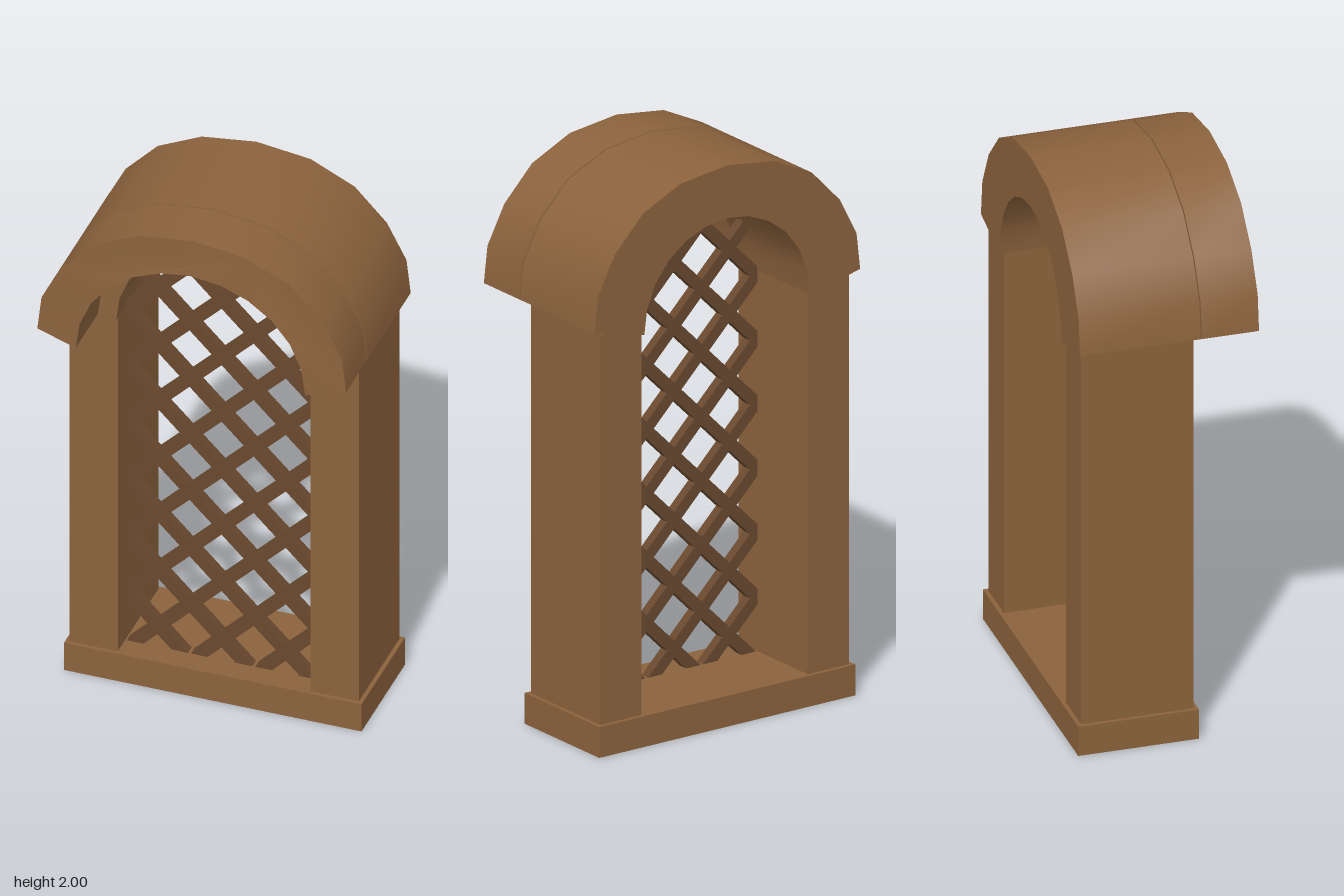
import * as THREE from 'three';
import { toCreasedNormals } from 'three/addons/utils/BufferGeometryUtils.js';

const SPRING = 1.47; // height where the arch begins

export function createModel() {
  const model = new THREE.Group();
  model.name = 'archedTrellis';
  const wood = new THREE.MeshStandardMaterial({ color: 0x8b623c });
  wood.name = 'warm wood';
  const darkWood = new THREE.MeshStandardMaterial({ color: 0x69492f });
  darkWood.name = 'dark wood';

  const add = (name, geometry, material, parent = model) => {
    const mesh = new THREE.Mesh(geometry, material);
    mesh.name = name;
    parent.add(mesh);
    return mesh;
  };
  const box = (name, x0, x1, y0, y1, z0, z1) =>
    add(name, new THREE.BoxGeometry(x1 - x0, y1 - y0, z1 - z0), wood)
      .position.set((x0 + x1) / 2, (y0 + y1) / 2, (z0 + z1) / 2);

  // Sill and side posts
  box('sill', -0.532, 0.532, 0, 0.11, -0.32, 0.105);
  box('leftPost', 0.345, 0.517, 0.11, 1.5, -0.305, 0.09);
  box('rightPost', -0.517, -0.345, 0.11, 1.5, -0.305, 0.09);

  // Arch rings share one faceted outer curve
  const half = [[0.552, 1.515], [0.537, 1.645], [0.467, 1.78], [0.352, 1.9], [0.195, 1.975]];
  const outer = [...half, [0, 2], ...half.map(([x, y]) => [-x, y]).reverse()];
  const ring = (rx, ry, y0, z0, z1, bevel) => {
    const inner = [];
    for (let i = 0; i <= 12; i++) {
      const a = Math.PI * (1 - i / 12);
      inner.push([rx * Math.cos(a), y0 + ry * Math.sin(a)]);
    }
    const shape = new THREE.Shape([...outer, ...inner].map(([x, y]) => new THREE.Vector2(x, y)));
    const geometry = new THREE.ExtrudeGeometry(shape, { depth: z1 - z0, bevelEnabled: false });
    geometry.translate(0, 0, z0);
    // Slope the front face back towards its outer rim
    const p = geometry.attributes.position;
    for (let i = 0; i < p.count; i++) {
      const isOuter = Math.hypot(p.getX(i), p.getY(i) - SPRING) > 0.47;
      if (isOuter && p.getZ(i) > z1 - 0.001) p.setZ(i, z1 - bevel);
    }
    return toCreasedNormals(geometry, 0.6);
  };
  add('arch', ring(0.345, 0.345, 1.467, -0.32, 0.105, 0), wood);
  add('frontHood', ring(0.41, 0.388, 1.477, 0.109, 0.322, 0.012), wood);

  // Diagonal lattice, each bar trimmed to the opening
  const lattice = new THREE.Group();
  lattice.name = 'lattice';
  model.add(lattice);
  const inside = (x, y) => Math.abs(x) < 0.36 && y > 0.095 &&
    (y < SPRING || Math.hypot(x, y - SPRING) < 0.36);
  const step = 0.2295;
  for (const side of [1, -1]) {
    for (let k = -2; k < 10; k++) {
      const c = 0.19 + k * step; // height where the bar crosses the centre line
      let lo = Infinity, hi = -Infinity;
      for (let x = -0.36; x <= 0.36; x += 0.002) {
        if (inside(x, c + side * x)) {
          lo = Math.min(lo, x);
          hi = Math.max(hi, x);
        }
      }
      if (hi - lo < 0.03) continue;
      const length = (hi - lo) * Math.SQRT2 + 0.02;
      const bar = add('latticeBar', new THREE.BoxGeometry(length, 0.042, 0.036), darkWood, lattice);
      const mid = (lo + hi) / 2;
      bar.position.set(mid, c + side * mid, 0);
      bar.rotation.z = side * Math.PI / 4;
    }
  }
  return model;
}
